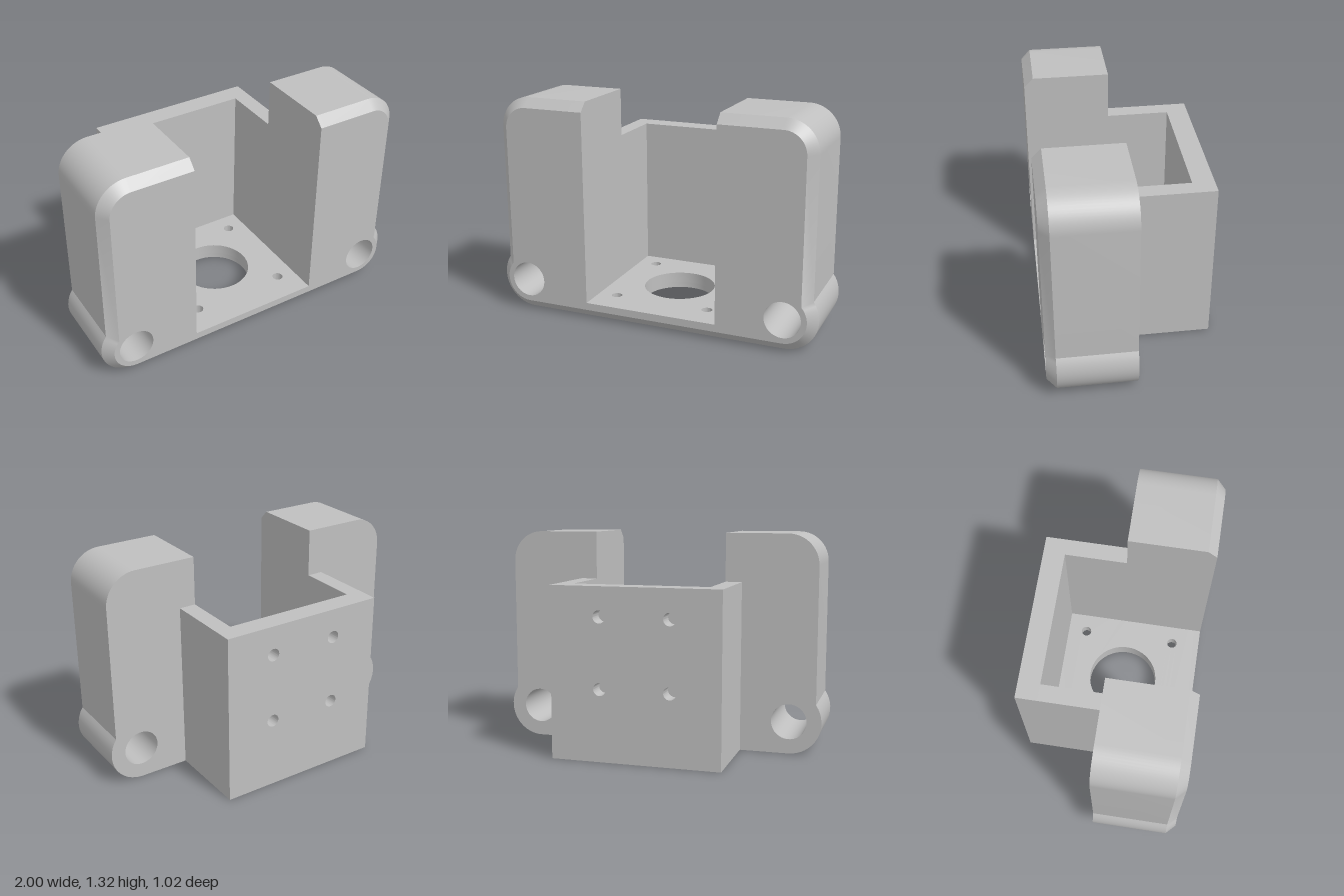
import * as THREE from 'three';
import { toCreasedNormals } from 'three/addons/utils/BufferGeometryUtils.js';

const BACK = -0.005, MID = 0.455, FRONT = 0.51, CHAMFER = 0.055;
const REAR = -0.51, INNER_REAR = -0.38, SLOT = 0.41, FLOOR = 0.1, FLAT = 0.69;
const EAR = { x: 0.805, y: 0.195, r: 0.195, hole: 0.107 };

const polygon = (pts) => new THREE.Shape(pts.map(([x, y]) => new THREE.Vector2(x, y)));
function addHoles(shape, list) {
  for (const [x, y, r] of list) shape.holes.push(new THREE.Path().absarc(x, y, r, 0, Math.PI * 2, true));
  return shape;
}
function extrude(shape, depth) {
  const g = new THREE.ExtrudeGeometry(shape, { depth, bevelEnabled: false, curveSegments: 24 });
  return toCreasedNormals(g, 0.5);
}
// the four combinations of +-x with two other positions
const grid = (x, others, r) => [-x, x].flatMap((a) => others.map((b) => [a, b, r]));

// outline of one upright with its rounded ear, shrunk by the chamfer inset
function outline(side, inset) {
  const pts = [[FLAT, inset]];
  const arc = (cx, cy, r, a0, a1) => {
    for (let i = 0; i <= 16; i++) {
      const a = a0 + (a1 - a0) * i / 16;
      pts.push([cx + r * Math.cos(a), cy + r * Math.sin(a)]);
    }
  };
  const r = EAR.r - inset;
  arc(EAR.x, EAR.y, r, -Math.PI / 2, Math.acos((0.965 - inset - EAR.x) / r));
  arc(0.78, 1.13, 0.185 - inset, 0, Math.PI / 2);
  pts.push([SLOT, 1.315 - inset], [SLOT, inset]);
  const out = pts.map(([x, y]) => [x * side, y]);
  return side > 0 ? out : out.reverse();
}

// walls between matching outlines placed at successive depths
function loft(rings) {
  const pos = [];
  for (let k = 0; k < rings.length - 1; k++) {
    const [p, z0] = rings[k], [q, z1] = rings[k + 1];
    for (let i = 0; i < p.length - 1; i++) {
      const a = [...p[i], z0], b = [...p[i + 1], z0], c = [...q[i + 1], z1], d = [...q[i], z1];
      pos.push(...a, ...b, ...c, ...a, ...c, ...d);
    }
  }
  const g = new THREE.BufferGeometry();
  g.setAttribute('position', new THREE.Float32BufferAttribute(pos, 3));
  g.computeVertexNormals();
  return toCreasedNormals(g, 0.5);
}

export function createModel() {
  const model = new THREE.Group();
  model.name = 'mountingBracket';
  const grey = new THREE.MeshStandardMaterial({ color: 0xbfbfbf, side: THREE.DoubleSide });
  grey.name = 'light grey';

  const add = (name, geometry, parent = model) => {
    const mesh = new THREE.Mesh(geometry, grey);
    mesh.name = name;
    parent.add(mesh);
    return mesh;
  };
  const box = (name, x0, x1, y0, y1, z0, z1) => add(name,
    new THREE.BoxGeometry(x1 - x0, y1 - y0, z1 - z0)
      .translate((x0 + x1) / 2, (y0 + y1) / 2, (z0 + z1) / 2));

  // uprights with chamfered front edges and a bolt hole through each ear
  for (const side of [1, -1]) {
    const upright = new THREE.Group();
    upright.name = side > 0 ? 'leftUpright' : 'rightUpright';
    model.add(upright);
    const cap = (s, inset) => new THREE.ShapeGeometry(
      addHoles(polygon(outline(s, inset)), [[EAR.x * s, EAR.y, EAR.hole]]), 24);
    const full = outline(side, 0);
    add('uprightWalls', loft([[full, BACK], [full, MID], [outline(side, CHAMFER), FRONT]]), upright);
    add('uprightFront', cap(side, CHAMFER).translate(0, 0, FRONT), upright);
    add('uprightBack', cap(-side, 0).rotateY(Math.PI).translate(0, 0, BACK), upright);
    const bore = new THREE.CylinderGeometry(EAR.hole, EAR.hole, FRONT - BACK, 48, 1, true);
    add('boltHole', bore.rotateX(Math.PI / 2).translate(EAR.x * side, EAR.y, (FRONT + BACK) / 2), upright);
  }

  // floor plate in two layers: wide screw heads below, narrow shafts above
  const SINK = 0.035, screws = [0.26, -0.33];
  const plate = (name, y0, y1, screwRadius) => {
    const shape = polygon([[-FLAT, -MID], [FLAT, -MID], [FLAT, -BACK], [0.51, -BACK],
      [0.51, -REAR], [-0.51, -REAR], [-0.51, -BACK], [-FLAT, -BACK]]);
    addHoles(shape, [[0, -0.035, 0.22], ...grid(0.295, screws, screwRadius),
      ...grid(0.622, [-0.108, -0.332], 0.038)]);
    add(name, extrude(shape, y1 - y0).rotateX(-Math.PI / 2).translate(0, y0, 0));
  };
  plate('floorLower', 0, SINK, 0.064);
  plate('floorUpper', SINK, FLOOR, 0.032);
  for (const [x, y] of grid(0.295, screws, 0)) {
    const cone = new THREE.CylinderGeometry(0.032, 0.064, SINK, 48, 1, true);
    add('countersink', cone.translate(x, SINK / 2, -y));
  }

  // chamfered front lip of the floor
  const lip = polygon([[MID, 0], [FRONT, CHAMFER], [FRONT, FLOOR], [MID, FLOOR]]);
  add('floorLip', extrude(lip, FLAT * 2).rotateY(-Math.PI / 2).translate(FLAT, 0, 0));

  // rear housing: side walls, drilled back wall and its inner lining
  const TOP = 1.025;
  for (const s of [1, -1]) {
    const near = s > 0 ? SLOT : -0.51, base = s > 0 ? 0.56 : -0.685;
    box('housingSide', near, near + 0.1, FLOOR, TOP, INNER_REAR, BACK);
    box('blindHoleEnd', base, base + 0.125, FLOOR, FLOOR + 0.02, 0.05, 0.4);
  }
  const wall = polygon([[-0.51, FLOOR], [0.51, FLOOR], [0.51, TOP], [-0.51, TOP]]);
  addHoles(wall, grid(0.21, [0.43, 0.85], 0.038));
  add('housingBack', extrude(wall, 0.1).translate(0, 0, REAR));
  box('housingBackLining', -0.51, 0.51, FLOOR, TOP, REAR + 0.1, INNER_REAR);

  return model;
}
